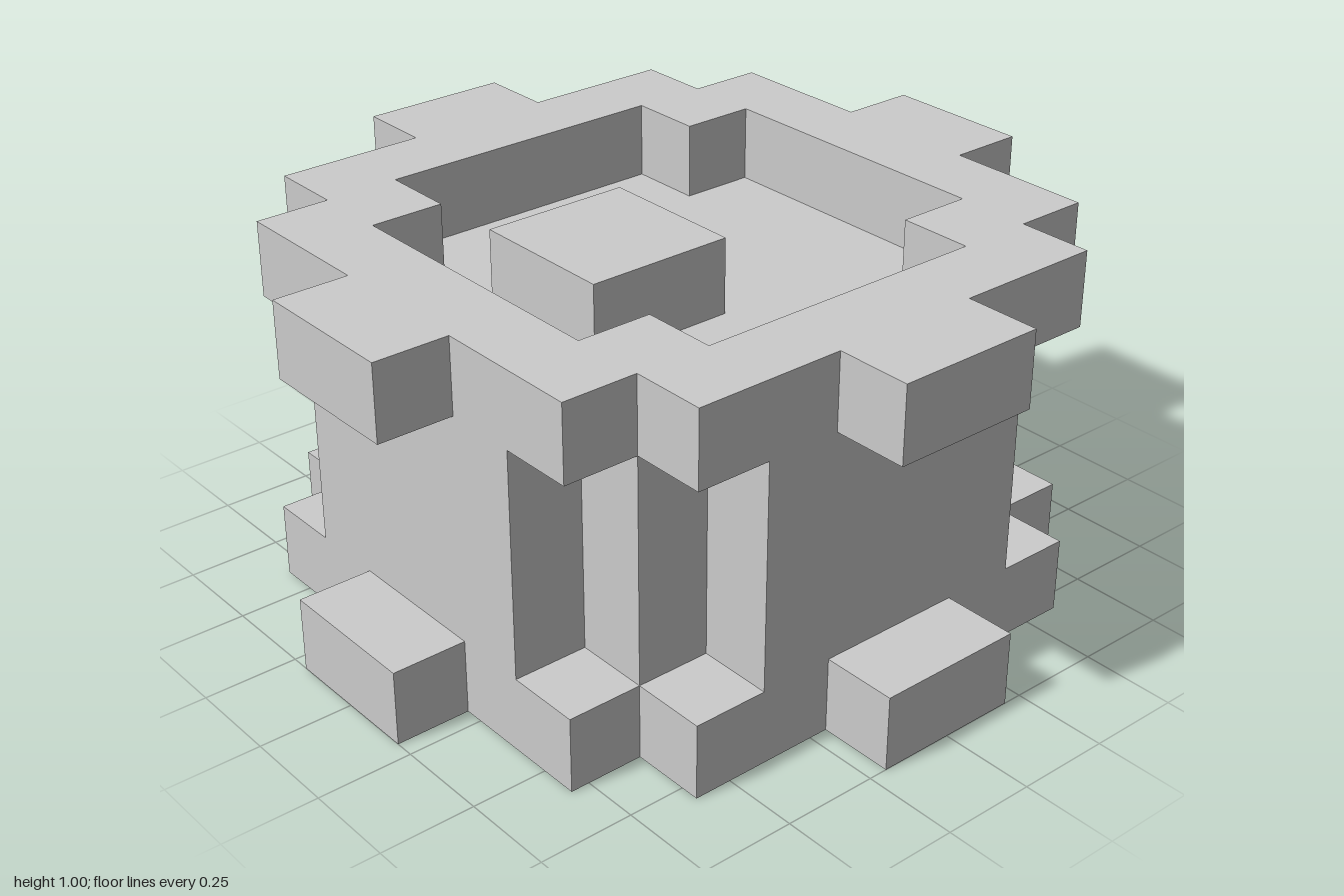
import * as THREE from 'three';

const material = new THREE.MeshStandardMaterial({ color: 0xcccccc, flatShading: true });

// Closed outline from one quadrant's corner points, turned through four quarter turns.
function outline(quarter, PathType = THREE.Shape) {
  const points = [];
  for (let turn = 0; turn < 4; turn++) {
    for (const [px, py] of quarter) {
      let x = px, y = py;
      for (let i = 0; i < turn; i++) [x, y] = [-y, x];
      points.push(new THREE.Vector2(x, y));
    }
  }
  return new PathType(points);
}

// Horizontal slab of the given shape between two heights.
function slab(name, shape, bottom, top) {
  const geometry = new THREE.ExtrudeGeometry(shape, { depth: top - bottom, bevelEnabled: false });
  geometry.rotateX(-Math.PI / 2).translate(0, bottom, 0);
  const mesh = new THREE.Mesh(geometry, material);
  mesh.name = name;
  return mesh;
}

export function createModel() {
  const model = new THREE.Group();
  model.name = 'blockDrum';

  // Stepped rim with four tabs and a stepped opening
  const rim = outline([
    [1, -0.2], [1, 0.2], [0.8, 0.2], [0.8, 0.6],
    [0.6, 0.6], [0.6, 0.8], [0.2, 0.8],
  ]);
  rim.holes.push(outline([[0.6, 0.4], [0.4, 0.4], [0.4, 0.6]], THREE.Path));
  model.add(slab('bottomRim', rim, 0, 0.2), slab('topRim', rim, 0.8, 1));

  // Solid middle with notched corners; its caps are the floors of both recesses
  const core = outline([[0.8, 0.4], [0.6, 0.4], [0.6, 0.6], [0.4, 0.6], [0.4, 0.8]]);
  model.add(slab('body', core, 0.2, 0.8));

  // Off-centre block standing in the top recess
  const block = new THREE.Mesh(new THREE.BoxGeometry(0.4, 0.2, 0.4), material);
  block.name = 'topBlock';
  block.position.set(-0.2, 0.9, 0);
  model.add(block);

  return model;
}
